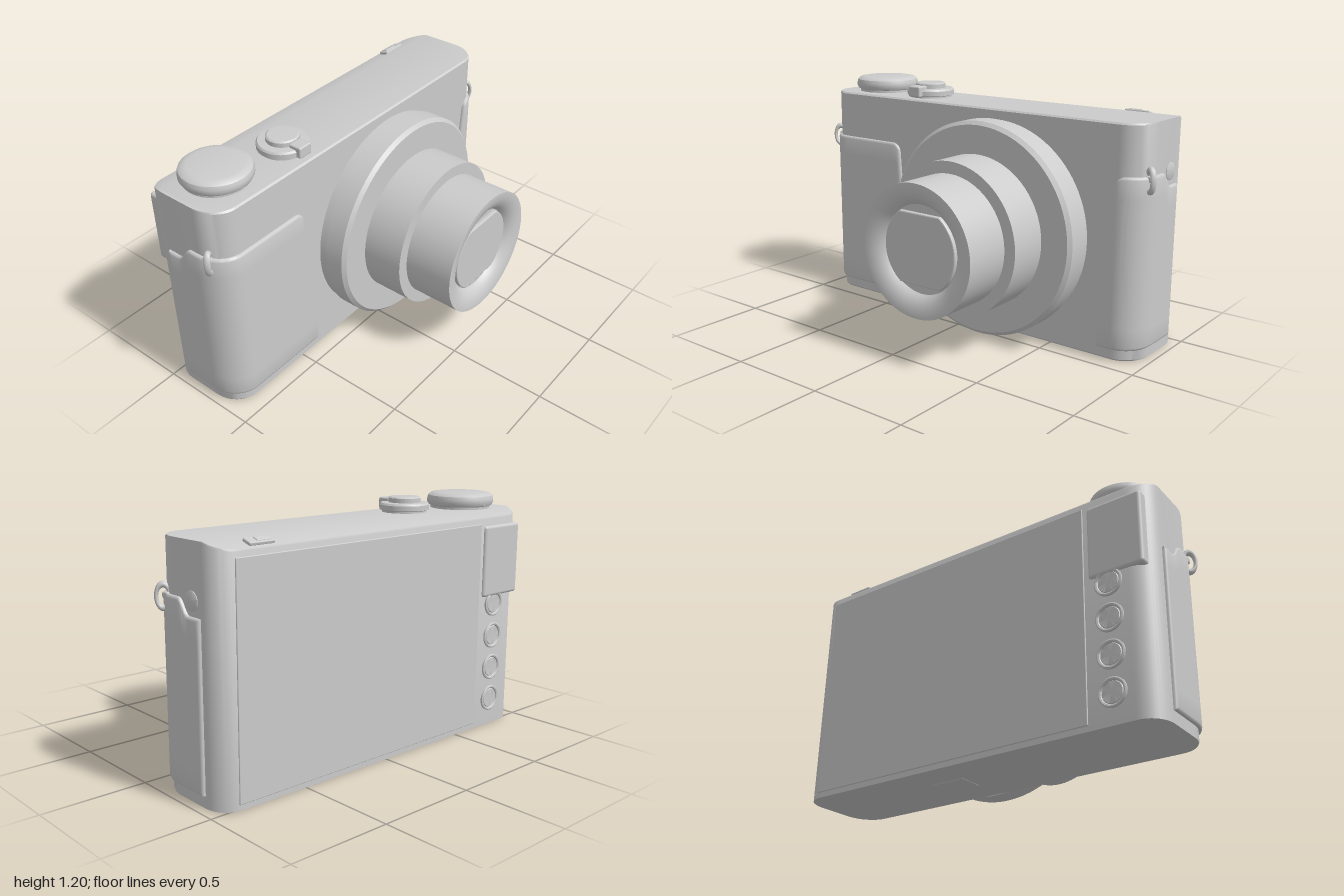
import * as THREE from 'three';
import { toCreasedNormals } from 'three/addons/utils/BufferGeometryUtils.js';
import { RoundedBoxGeometry } from 'three/addons/geometries/RoundedBoxGeometry.js';

const grey = new THREE.MeshStandardMaterial({ color: 0xcccccc });

function add(parent, name, geometry, x = 0, y = 0, z = 0) {
  const mesh = new THREE.Mesh(geometry, grey);
  mesh.name = name;
  mesh.position.set(x, y, z);
  parent.add(mesh);
  return mesh;
}

// Turned part: [radius, height] pairs from bottom to top.
function turned(profile, segments = 64) {
  const pts = profile.map(([r, h]) => new THREE.Vector2(r, h));
  return toCreasedNormals(new THREE.LatheGeometry(pts, segments), 0.55);
}

function meshFrom(positions, index, crease = 0.5) {
  const g = new THREE.BufferGeometry();
  g.setAttribute('position', new THREE.Float32BufferAttribute(positions, 3));
  g.setIndex(index);
  return toCreasedNormals(g, crease);
}

// Plan of the body: front and back are flat, the ends curve round.
const END = 0.96;
const corner = (x, start) => {
  const t = Math.min(1, Math.max(0, (Math.abs(x) - start) / (END - start)));
  return 1 - Math.sqrt(1 - t * t);
};

// Body: side profiles lofted along x.
function bodyGeometry() {
  const xs = [];
  for (let i = 0; i <= 12; i++) xs.push(0.84 + 0.12 * Math.sin((i / 12) * Math.PI / 2));
  const all = [...xs.map(x => -x).reverse(), ...xs];
  const pos = [], idx = [];
  const n = 8;
  for (const x of all) {
    const zf = -0.08 - 0.14 * corner(x, 0.84);
    const zb = -0.522 + 0.117 * corner(x, 0.86);
    const ridge = Math.max(-0.43, zb + 0.006);
    const yb = 1.12 - 0.32 * Math.max(0, -0.43 - zb);
    const ring = [[zf - 0.008, 0.004], [zf, 0.012], [zf, 1.112], [zf - 0.008, 1.12],
      [ridge, 1.12], [zb + 0.004, yb], [zb, yb - 0.008], [zb, 0.004]];
    for (const [z, y] of ring) pos.push(x, y, z);
  }
  const last = (all.length - 1) * n;
  for (let i = 0; i < all.length - 1; i++) {
    for (let k = 0; k < n; k++) {
      const a = i * n + k, c = i * n + (k + 1) % n;
      idx.push(a, a + n, c, a + n, c + n, c);
    }
  }
  for (let k = 1; k < n - 1; k++) idx.push(0, k, k + 1, last, last + k + 1, last + k);
  return meshFrom(pos, idx);
}

// Grip panel wrapped from the front round the end of the body.
function gripGeometry(side, frontBottom, frontTop) {
  const arc = 0.204, end = arc + 0.19, thick = 0.016, low = 0.06, high = 0.88;
  const edge = [[0, -0.02], [0, 0.5], [0.004, 0.82], [0.013, 1]];
  const rows = [...edge.map(([d, o]) => ({ f: 0, d, o }))];
  for (let i = 1; i < 8; i++) rows.push({ f: i / 8, d: 0, o: 1 });
  rows.push(...edge.map(([d, o]) => ({ f: 1, d: -d, o })).reverse());
  const cols = [...edge, [0.025, 1], [0.04, 1]].map(([d, o]) => ({ f: 0, d, o }));
  for (let i = 0; i <= 40; i++) cols.push({ f: i / 40, d: 0.055 * (1 - i / 40) - 0.02 * (i / 40), o: 1 });
  cols.push(...edge.map(([d, o]) => ({ f: 1, d: -d, o })).reverse());
  const round = (d, r) => (d >= r ? 0 : r - Math.sqrt(r * r - (r - d) ** 2));
  const pos = [], idx = [];
  for (const row of rows) {
    for (const col of cols) {
      const startAt = y => THREE.MathUtils.lerp(frontBottom, frontTop, (y - low) / (high - low)) - 0.84;
      const along = y => THREE.MathUtils.lerp(startAt(y), end, col.f) + col.d;
      const sTop = along(high);
      const z0 = sTop > arc ? -0.22 - (sTop - arc) : 0;
      const step = 0.07 * THREE.MathUtils.smoothstep(-z0, 0.265, 0.335);
      const d = col.f === 0 ? col.d : 1;
      const top = high - step - round(d, 0.045);
      const bottom = low + round(d, 0.02);
      const y = THREE.MathUtils.lerp(bottom, top, row.f) + row.d;
      const s = along(y);
      const a = THREE.MathUtils.clamp(s / arc, 0, 1) * Math.PI / 2;
      const off = thick * Math.min(row.o, col.o) - (Math.min(row.o, col.o) < 0 ? 0.012 : 0);
      const x = 0.84 + Math.min(s, 0) + (0.12 + off) * Math.sin(a);
      const z = -0.22 + (0.14 + off) * Math.cos(a) - Math.max(0, s - arc);
      pos.push(side * x, y, z);
    }
  }
  const n = cols.length;
  for (let i = 0; i < rows.length - 1; i++) {
    for (let j = 0; j < n - 1; j++) {
      const a = i * n + j, b = a + 1, c = a + n, e = c + 1;
      if (side > 0) idx.push(a, b, c, b, e, c);
      else idx.push(a, c, b, b, c, e);
    }
  }
  return meshFrom(pos, idx, 0.7);
}

function lens() {
  const g = new THREE.Group();
  g.name = 'lens';
  g.position.set(0.175, 0.55, 0);
  const parts = {
    lensMount: [[0.52, -0.1], [0.52, -0.03]],
    lensRing: [[0.5, -0.036], [0.53, -0.036], [0.53, 0.062], [0.512, 0.079], [0.3, 0.079]],
    outerBarrel: [[0.373, 0.07], [0.373, 0.287], [0.3, 0.287]],
    innerBarrel: [[0.315, 0.27], [0.315, 0.535], [0.305, 0.535], [0.275, 0.531],
      [0.245, 0.52], [0.222, 0.502], [0.21, 0.485], [0, 0.485]],
  };
  for (const [name, profile] of Object.entries(parts)) {
    add(g, name, turned(profile, 96)).rotation.x = Math.PI / 2;
  }
  // Window: a disc cut flat above and below.
  const shape = new THREE.Shape();
  const a = Math.asin(0.17 / 0.205);
  shape.absarc(0, 0, 0.205, -a, a, false);
  shape.absarc(0, 0, 0.205, Math.PI - a, Math.PI + a, false);
  shape.closePath();
  add(g, 'lensWindow', new THREE.ExtrudeGeometry(shape, {
    depth: 0.015, bevelSize: 0.006, bevelOffset: -0.006, bevelThickness: 0.006, bevelSegments: 2, curveSegments: 24,
  }), 0, 0, 0.482);
  return g;
}

export function createModel() {
  const model = new THREE.Group();
  model.name = 'camera';
  add(model, 'body', bodyGeometry());
  add(model, 'rightGrip', gripGeometry(-1, 0.395, 0.455));
  add(model, 'leftGrip', gripGeometry(1, 0.76, 0.835));
  model.add(lens());

  // Top controls
  add(model, 'modeDial', turned([[0.15, 0], [0.15, 0.012], [0.16, 0.016], [0.167, 0.03], [0.167, 0.048],
    [0.162, 0.064], [0.148, 0.075], [0.125, 0.079], [0, 0.08]]), -0.738, 1.12, -0.3);
  add(model, 'shutterCollar', turned([[0.11, 0], [0.11, 0.008], [0.122, 0.012], [0.122, 0.036],
    [0.115, 0.045], [0.07, 0.047]]), -0.38, 1.12, -0.245);
  add(model, 'shutterButton', turned([[0.078, 0], [0.078, 0.068], [0.07, 0.074], [0, 0.076]]), -0.38, 1.12, -0.245);
  add(model, 'zoomLever', new RoundedBoxGeometry(0.075, 0.056, 0.068, 2, 0.008), -0.378, 1.155, -0.14);
  const flash = new THREE.Group();
  flash.name = 'topSwitch';
  flash.position.set(0.72, 1.108, -0.482);
  flash.rotation.x = -0.31;
  add(flash, 'switchFrame', new RoundedBoxGeometry(0.13, 0.018, 0.052, 2, 0.006));
  add(flash, 'switchKnob', new RoundedBoxGeometry(0.075, 0.02, 0.034, 2, 0.006), -0.015, 0.004, 0);
  model.add(flash);

  // Back: screen, thumb rest and four buttons
  add(model, 'screen', new RoundedBoxGeometry(1.51, 1.03, 0.02, 2, 0.004), 0.115, 0.545, -0.517);
  const pad = add(model, 'thumbRest', new RoundedBoxGeometry(0.268, 0.36, 0.07, 3, 0.016), -0.797, 0.868, -0.5);
  pad.geometry.translate(0, 0, 0);
  for (let i = 0; i < 4; i++) {
    add(model, 'backButton', turned([[0.066, 0], [0.066, 0.01], [0.06, 0.013], [0.053, 0.01], [0.05, 0.004],
      [0.047, 0.008], [0, 0.011]], 40), -0.757, 0.145 + i * 0.168, -0.52).rotation.x = -Math.PI / 2;
  }

  // Strap loops on both ends
  for (const side of [-1, 1]) {
    const loop = add(model, 'strapLoop', new THREE.TorusGeometry(0.05, 0.015, 12, 32), side * 0.965, 0.865, -0.15);
    loop.scale.set(0.58, 1, 1);
    loop.rotation.y = -side * 0.65;
    add(model, 'strapPost', new RoundedBoxGeometry(0.03, 0.03, 0.04, 2, 0.008), side * 0.955, 0.87, -0.165);
  }

  // Round cover on the left end
  add(model, 'sideCover', turned([[0.042, 0], [0.042, 0.006], [0.038, 0.008], [0, 0.008]], 32),
    0.957, 0.875, -0.35).rotation.z = -Math.PI / 2;

  // Tripod socket under the lens
  add(model, 'socketPlate', new RoundedBoxGeometry(0.17, 0.01, 0.13, 2, 0.004), 0.2, 0.006, -0.3);
  const rim = add(model, 'socketRim', new THREE.TorusGeometry(0.05, 0.012, 10, 40), 0.2, 0.004, -0.3);
  rim.rotation.x = Math.PI / 2;
  rim.scale.z = 0.33;
  return model;
}
